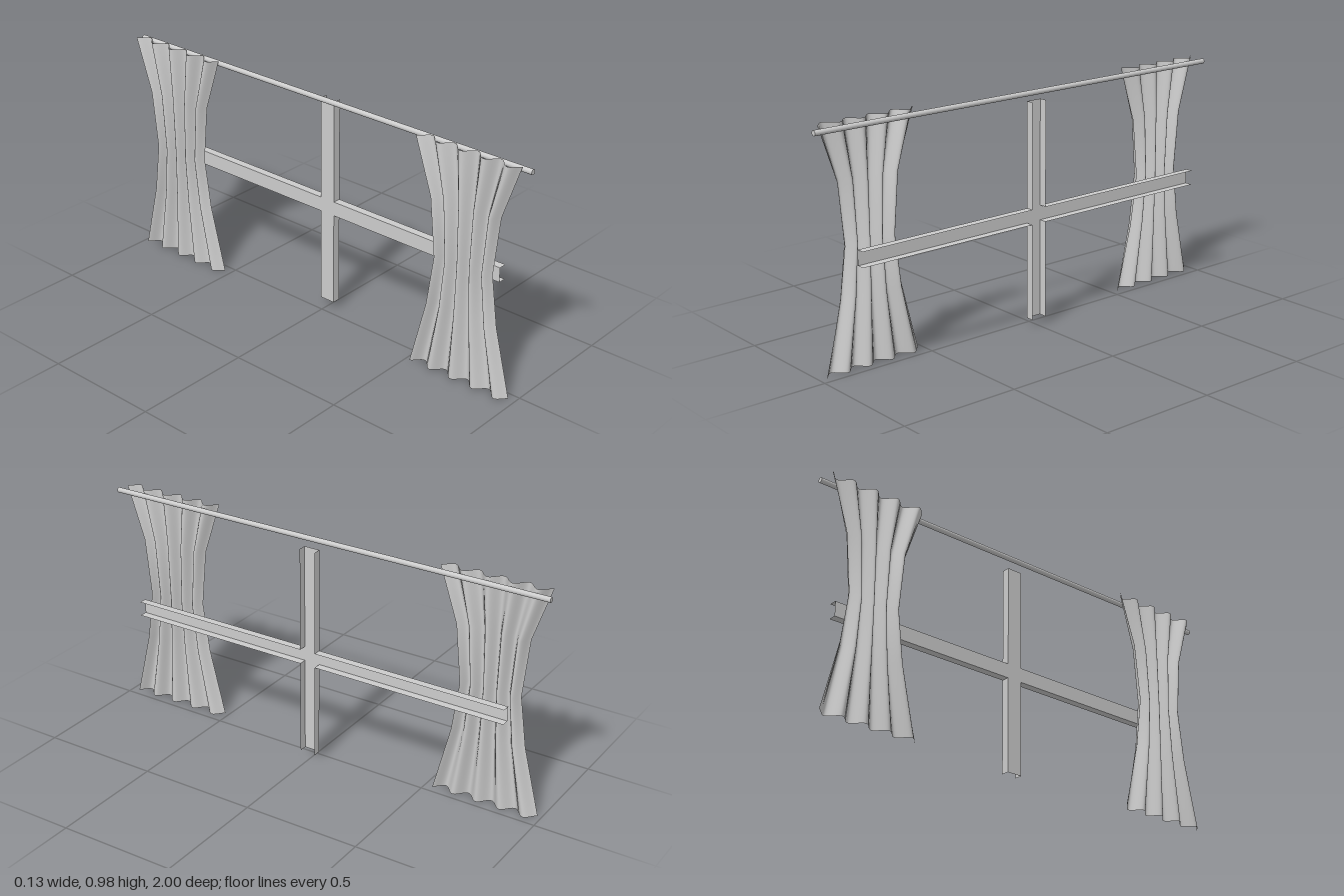
import * as THREE from 'three';

const material = new THREE.MeshStandardMaterial({ color: 0xcccccc, side: THREE.DoubleSide });

function addMesh(parent, name, geometry) {
  const mesh = new THREE.Mesh(geometry, material);
  mesh.name = name;
  parent.add(mesh);
  return mesh;
}

// Gathered curtain: a wavy sheet drawn in at the waist
function curtainGeometry() {
  const rings = [[0, 0.225], [0.286, 0.153], [0.5, 0.123], [0.747, 0.148], [0.975, 0.225]]; // [y, half width]
  const columns = 108;
  const geometry = new THREE.PlaneGeometry(1, 1, columns, rings.length - 1);
  const position = geometry.attributes.position;
  const startPhase = 0.3, endPhase = 9 * Math.PI - 0.6;
  for (let r = 0; r < rings.length; r++) {
    const [y, half] = rings[rings.length - 1 - r];
    for (let c = 0; c <= columns; c++) {
      const u = c / columns;
      const phase = startPhase + (endPhase - startPhase) * u;
      position.setXYZ(r * (columns + 1) + c, -0.048 - 0.02 * Math.cos(phase), y, (u * 2 - 1) * half);
    }
  }
  geometry.computeVertexNormals();
  return geometry;
}

// Window cross: thin web at the back, open-ended flanges along each arm
function createWindowCross() {
  const cross = new THREE.Group();
  cross.name = 'windowCross';
  const back = 0.031, front = 0.065, depth = front - back, midX = (front + back) / 2;
  const y = [0.033, 0.438, 0.5, 0.938];
  const z = [-0.875, -0.032, 0.037, 0.856];

  const web = (name, y0, y1, z0, z1) => {
    const mesh = addMesh(cross, name, new THREE.PlaneGeometry(z1 - z0, y1 - y0));
    mesh.rotation.y = Math.PI / 2;
    mesh.position.set(back, (y0 + y1) / 2, (z0 + z1) / 2);
  };
  web('uprightWeb', y[0], y[3], z[1], z[2]);

  for (const i of [0, 2]) {
    web('crossbarWeb', y[1], y[2], z[i], z[i + 1]);
    for (const edge of [1, 2]) {
      const upright = addMesh(cross, 'uprightFlange', new THREE.PlaneGeometry(depth, y[i + 1] - y[i]));
      upright.position.set(midX, (y[i] + y[i + 1]) / 2, z[edge]);

      const bar = addMesh(cross, 'crossbarFlange', new THREE.PlaneGeometry(depth, z[i + 1] - z[i]));
      bar.rotation.x = -Math.PI / 2;
      bar.position.set(midX, y[edge], (z[i] + z[i + 1]) / 2);
    }
  }
  return cross;
}

export function createModel() {
  const model = new THREE.Group();
  model.name = 'curtainedWindow';

  // Curtain rod
  const rod = addMesh(model, 'curtainRod', new THREE.CylinderGeometry(0.011, 0.011, 2, 24));
  rod.rotation.x = Math.PI / 2;
  rod.position.set(-0.01, 0.956, 0);

  // Matching pair of curtains
  const cloth = curtainGeometry();
  for (const [name, z] of [['frontCurtain', 0.744], ['backCurtain', -0.758]]) {
    addMesh(model, name, cloth).position.z = z;
  }

  model.add(createWindowCross());
  return model;
}
